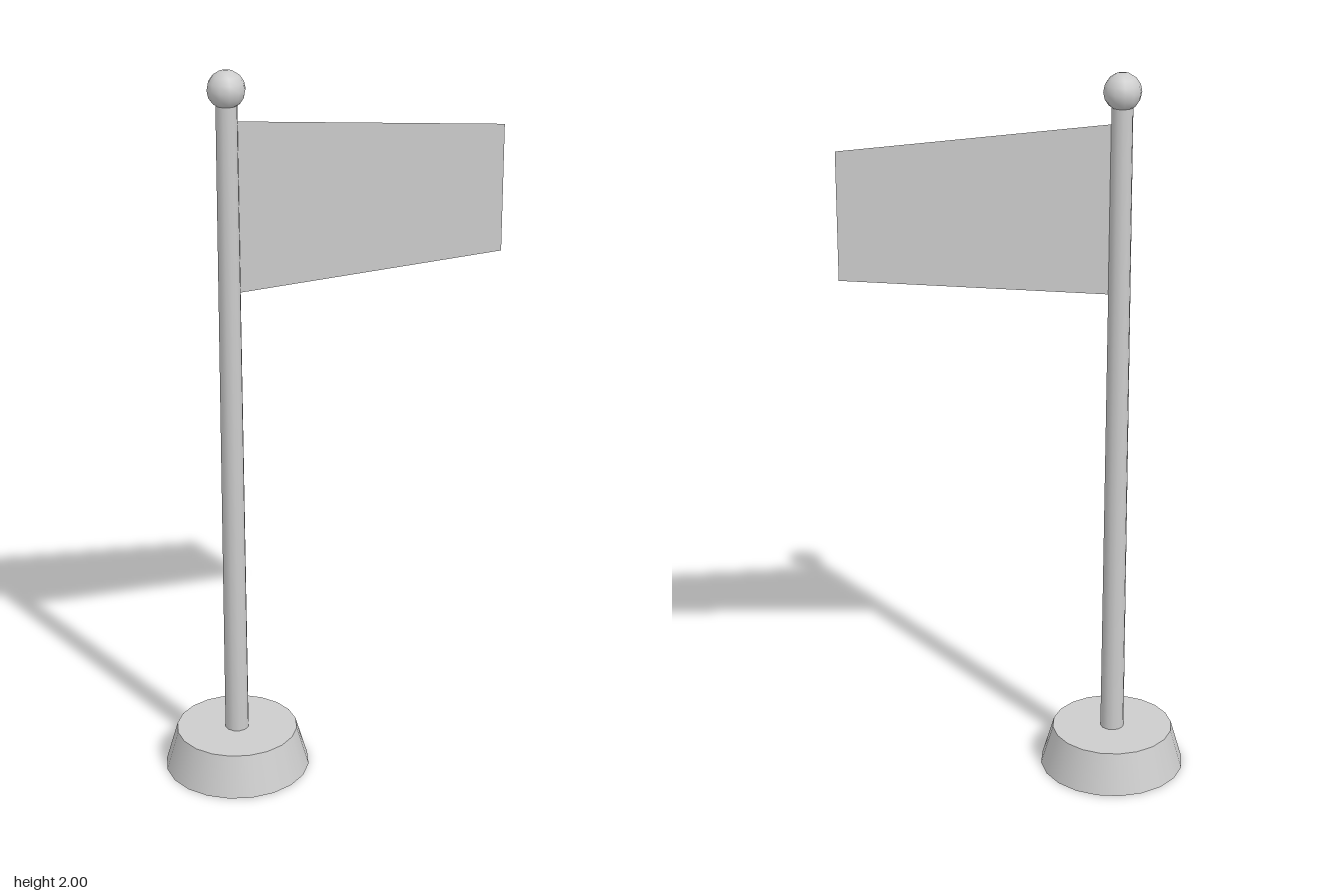
import * as THREE from 'three';

export function createModel() {
  const group = new THREE.Group();
  const grey = new THREE.MeshStandardMaterial({ color: 0xcccccc, side: THREE.DoubleSide });
  grey.name = 'lightGrey';
  const poleX = -0.267;

  const add = (name, geometry, x = 0, y = 0) => {
    const mesh = new THREE.Mesh(geometry, grey);
    mesh.name = name;
    mesh.position.set(x, y, 0);
    group.add(mesh);
  };

  // tapered round foot
  add('base', new THREE.CylinderGeometry(0.168, 0.201, 0.115, 20), poleX, 0.0575);

  // slightly tapered pole, running into the ball
  add('pole', new THREE.CylinderGeometry(0.028, 0.033, 1.82, 12), poleX, 1.01);

  // ball on top
  add('finial', new THREE.SphereGeometry(0.05, 12, 8), poleX, 1.95);

  // flat flag narrowing towards its free end
  const flag = new THREE.Shape([
    new THREE.Vector2(-0.24, 1.405),
    new THREE.Vector2(0.467, 1.463),
    new THREE.Vector2(0.467, 1.81),
    new THREE.Vector2(-0.24, 1.865),
  ]);
  add('flag', new THREE.ShapeGeometry(flag));

  return group;
}
